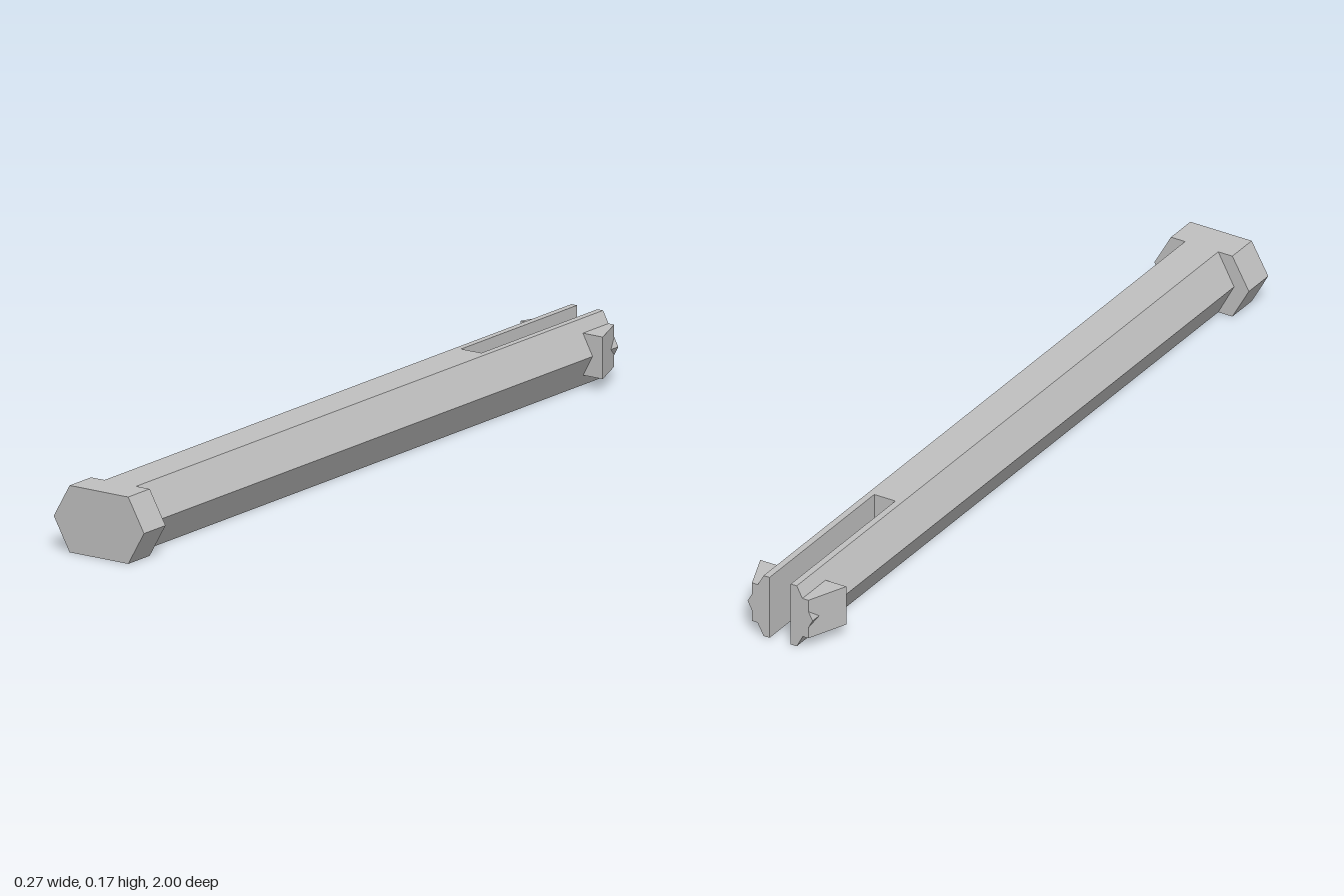
import * as THREE from 'three';

const H = 0.167, MID = H / 2;

// Extrude an outline of [x, y] points from z0 to z1
function prism(points, z0, z1) {
  const shape = new THREE.Shape(points.map(([x, y]) => new THREE.Vector2(x, y)));
  const geo = new THREE.ExtrudeGeometry(shape, { depth: z1 - z0, bevelEnabled: false });
  return geo.translate(0, 0, z0);
}

// Six-sided outline: flat top and bottom, pointed sides
const hexagon = (flat, point) => [
  [-flat, 0], [flat, 0], [point, MID], [flat, H], [-flat, H], [-point, MID],
];

export function createModel() {
  const group = new THREE.Group();
  const grey = new THREE.MeshStandardMaterial({ color: 0xbfbfbf, flatShading: true });
  grey.name = 'grey plastic';
  const add = (name, geo) => {
    const mesh = new THREE.Mesh(geo, grey);
    mesh.name = name;
    group.add(mesh);
  };

  const flat = 0.047, point = 0.092, slot = 0.03, slotEnd = -0.525;
  add('head', prism(hexagon(0.087, 0.134), 0.912, 1));
  add('shaft', prism(hexagon(flat, point), slotEnd, 0.912));

  for (const s of [-1, 1]) {
    const side = s > 0 ? 'left' : 'right';
    // Prong beside the slot
    const arm = [[slot, 0], [flat, 0], [point, MID], [flat, H], [slot, H]];
    add(side + 'Prong', prism(arm.map(([x, y]) => [s * x, y]), -1, slotEnd));

    // Wedge-shaped catch, outlined in plan and extruded upwards
    const plan = [[0.04, 1], [0.08, 1], [0.122, 0.895], [0.04, 0.895]];
    const wedge = prism(plan.map(([x, z]) => [s * x, z]), 0.032, 0.137);
    add(side + 'Catch', wedge.rotateX(-Math.PI / 2));
  }
  return group;
}
